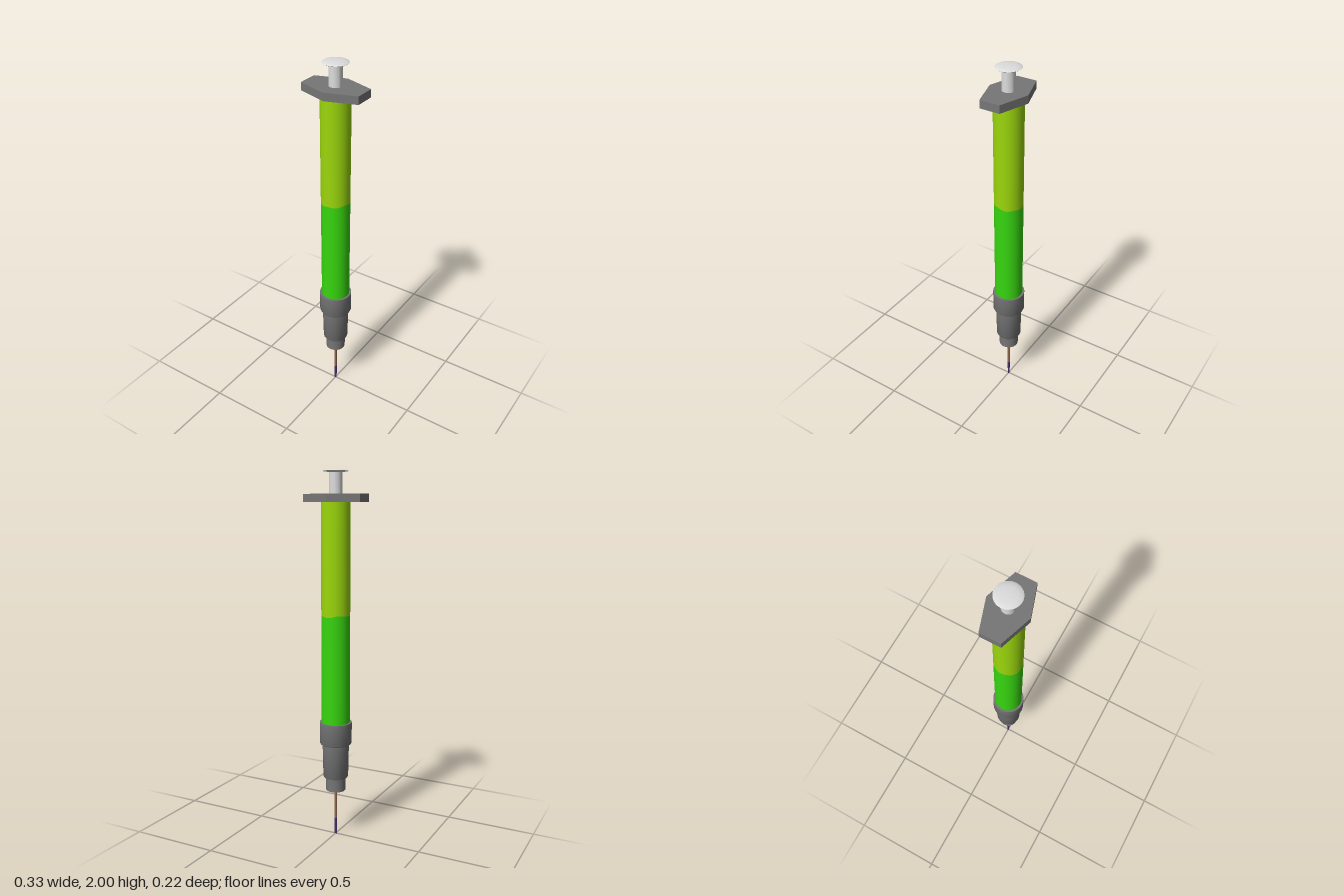
import * as THREE from 'three';
import { toCreasedNormals } from 'three/addons/utils/BufferGeometryUtils.js';

const paint = (name, color) => {
  const m = new THREE.MeshStandardMaterial({ color });
  m.name = name;
  return m;
};

export function createModel() {
  const group = new THREE.Group();
  const grey = paint('grey plastic', 0x767676);
  const white = paint('pale plastic', 0xdcdcdc);
  const lime = paint('lime liquid', 0x9bd60c);
  const green = paint('green liquid', 0x37d60f);
  const copper = paint('needle copper', 0x94694c);
  const purple = paint('needle purple', 0x47306e);
  const black = paint('hub opening black', 0x0c0c0c);

  const add = (name, geometry, material) => {
    const mesh = new THREE.Mesh(geometry, material);
    mesh.name = name;
    group.add(mesh);
    return mesh;
  };
  // Turned part from [radius, y] pairs listed bottom to top
  const turned = (points, sides = 32) => toCreasedNormals(
    new THREE.LatheGeometry(points.map(([r, y]) => new THREE.Vector2(r, y)), sides), 0.6);

  // Barrel in two colours that meet at a slightly wavy level
  const level = (x, z) => {
    const a = Math.atan2(z, x);
    return 1.247 + 0.004 * Math.sin(a * 2 + 0.6) + 0.003 * Math.sin(a * 5);
  };
  const barrel = (name, y0, y1, material) => {
    const g = new THREE.CylinderGeometry(0.077, 0.077, y1 - y0, 48, 1, true);
    g.translate(0, (y0 + y1) / 2, 0);
    const p = g.attributes.position;
    for (let i = 0; i < p.count; i++) {
      if (Math.abs(p.getY(i) - 1.247) < 0.01) p.setY(i, level(p.getX(i), p.getZ(i)));
    }
    add(name, g, material);
  };
  barrel('lowerBarrel', 0.65, 1.247, green);
  barrel('upperBarrel', 1.247, 1.837, lime);

  // Six-sided finger flange
  const outline = [[-0.163, -0.054], [0, -0.108], [0.163, -0.054],
    [0.163, 0.054], [0, 0.108], [-0.163, 0.054]];
  const shape = new THREE.Shape(outline.map(([x, z]) => new THREE.Vector2(x, z)));
  const flange = new THREE.ExtrudeGeometry(shape, { depth: 0.042, bevelEnabled: false });
  flange.rotateX(-Math.PI / 2).translate(0, 1.834, 0);
  add('fingerFlange', flange, grey);

  // Plunger rod and domed thumb rest
  add('plungerRod', turned([[0.034, 1.87], [0.034, 1.99]]), white);
  add('thumbRest', turned([[0.034, 1.984], [0.062, 1.988], [0.066, 1.991],
    [0.058, 1.995], [0.04, 1.998], [0.02, 1.9995], [0, 2]], 48), white);

  // Collar, tapered hub and nozzle
  add('collar', turned([[0.06, 0.536], [0.084, 0.536], [0.088, 0.543],
    [0.088, 0.659], [0.076, 0.659]]), grey);
  add('hub', turned([[0.05, 0.342], [0.066, 0.342], [0.069, 0.348],
    [0.073, 0.54]]), grey);
  add('nozzle', turned([[0.054, 0.266], [0.055, 0.345]]), grey);
  const opening = new THREE.CircleGeometry(0.054, 32);
  opening.rotateX(Math.PI / 2).translate(0, 0.266, 0);
  add('nozzleOpening', opening, black);

  // Needle with a purple tip ground to a slanted point
  add('needleShaft', turned([[0.0075, 0.095], [0.0075, 0.275]], 12), copper);
  const tip = new THREE.CylinderGeometry(0.0078, 0.0078, 0.095, 12, 4);
  tip.translate(0, 0.0475, 0);
  const p = tip.attributes.position;
  for (let i = 0; i < p.count; i++) {
    const t = Math.min(1, p.getY(i) / 0.07);
    p.setZ(i, p.getZ(i) * (0.35 + 0.65 * t));
  }
  tip.computeVertexNormals();
  add('needleTip', tip, purple);

  return group;
}
